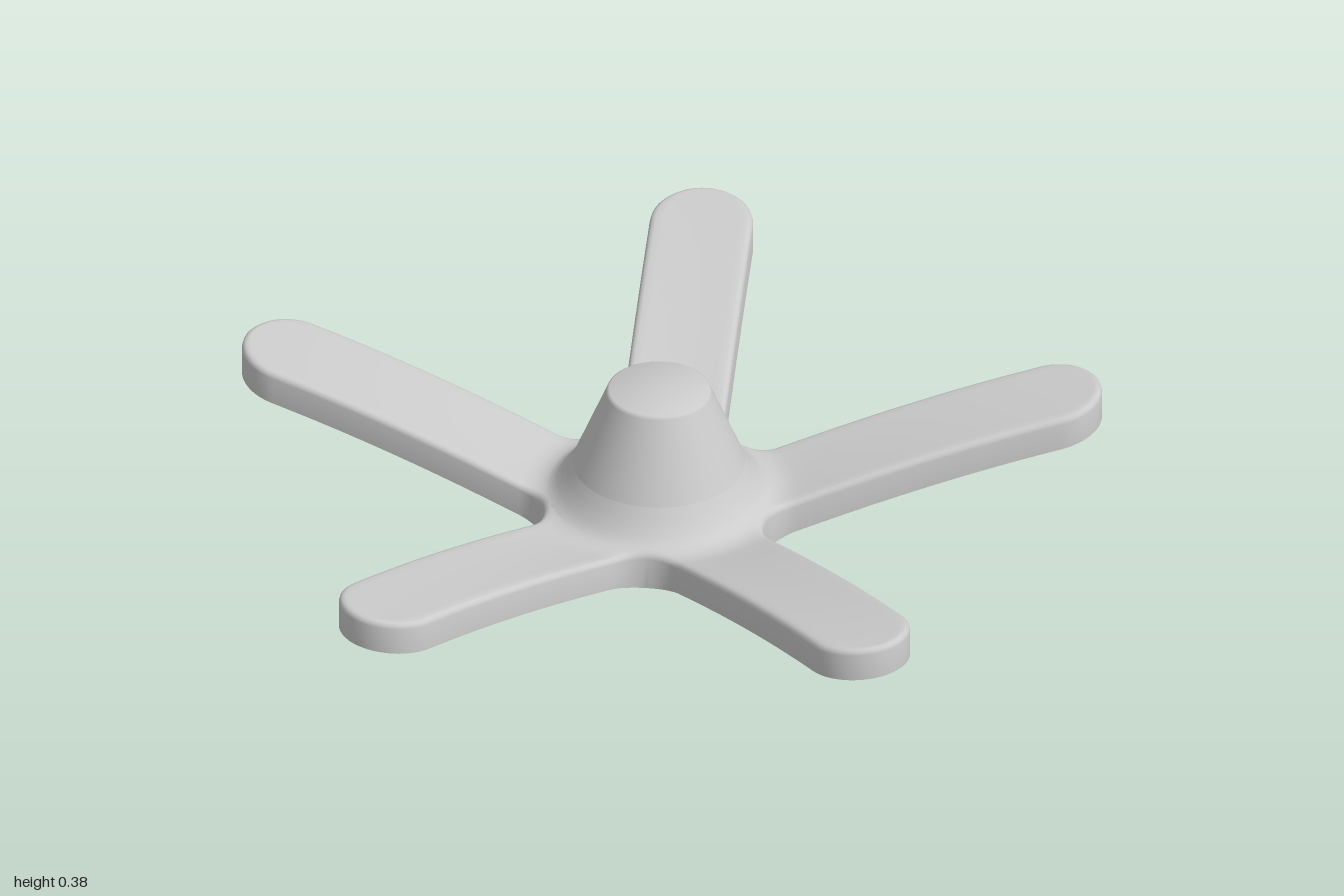
import * as THREE from 'three';
import { mergeGeometries, toCreasedNormals } from 'three/addons/utils/BufferGeometryUtils.js';

const LEGS = 5, SECTOR = Math.PI / LEGS;      // half angle of one leg's sector
const HALF = 0.12, CAP = 0.925;               // leg half width, centre of the rounded tip
const FILLET = 0.1, EDGE = 0.015;             // radius between legs, rounding of top edges
const HUB_R = 0.2, FOOT_R = 0.25, ACROSS = 12;

// Heights of the underside and top at a given radius from the hub axis
const bottomY = (r) => { const s = Math.max(0, r - FOOT_R); return 0.32 * s - 0.117 * s * s; };
const topY = (r) => bottomY(r) + 0.082 + 0.1 * Math.pow(Math.max(0, (0.34 - r) / 0.14), 2.8);

// Half outline of one leg: valley fillet, straight side, round tip
function legOutline() {
  const pts = [];
  const cx = (HALF + FILLET) / Math.tan(SECTOR), cz = HALF + FILLET;
  for (let i = 0; i <= 10; i++) {
    const t = Math.PI + SECTOR + (i / 10) * (Math.PI / 2 - SECTOR);
    const c = Math.cos(t), s = Math.sin(t);
    pts.push({ u: cx + FILLET * c, w: cz + FILLET * s, nu: -c, nw: -s });
  }
  for (let i = 1; i < 16; i++) pts.push({ u: cx + (CAP - cx) * i / 16, w: HALF, nu: 0, nw: 1 });
  for (let i = 0; i <= 16; i++) {
    const t = Math.PI / 2 * (1 - i / 16), c = Math.cos(t), s = Math.sin(t);
    pts.push({ u: CAP + HALF * c, w: i === 16 ? 0 : HALF * s, nu: c, nw: i === 16 ? 0 : s });
  }
  return pts;
}

const polar = (r, a, y) => [r * Math.cos(a), y, r * Math.sin(a)];

// Points along an arc of radius r, from angle a to angle b
function arcRow(r, a, b, y) {
  const row = [];
  for (let j = 0; j <= ACROSS; j++) row.push(polar(r, a + (b - a) * j / ACROSS, y));
  return row;
}

// Closed cross-section: underside, wall, rounded edge, top, rounded edge
function legSection(p) {
  const r = Math.hypot(p.u, p.w), phi = Math.atan2(p.w, p.u);
  const side = (sign) => [0, 1, 2].map((k) => {
    const t = k * Math.PI / 6, inset = EDGE * (1 - Math.cos(t));
    const u = p.u - p.nu * inset, w = Math.max(0, p.w - p.nw * inset);
    return [u, topY(Math.hypot(u, w)) - EDGE * (1 - Math.sin(t)), sign * w];
  });
  const iu = p.u - p.nu * EDGE, iw = Math.max(0, p.w - p.nw * EDGE);
  const ir = Math.hypot(iu, iw), ia = Math.atan2(iw, iu);
  const loop = [
    ...arcRow(r, phi, -phi, bottomY(r)),
    ...side(-1),
    ...arcRow(ir, -ia, ia, topY(ir)),
    ...side(1).reverse(),
  ];
  loop.push(loop[0]);
  return loop;
}

// Surface through rows of equal length
function loft(rows) {
  const n = rows[0].length, index = [];
  for (let i = 0; i < rows.length - 1; i++) {
    for (let j = 0; j < n - 1; j++) {
      const a = i * n + j, b = a + 1, c = a + n, d = c + 1;
      index.push(a, b, c, b, d, c);
    }
  }
  const g = new THREE.BufferGeometry();
  g.setAttribute('position', new THREE.Float32BufferAttribute(rows.flat(2), 3));
  g.setIndex(index);
  return g;
}

// Smooth normals with sharp edges; enlarged meanwhile so small details stay distinct
function crease(g) {
  g.scale(100, 100, 100);
  const out = toCreasedNormals(g, 0.7);
  return out.scale(0.01, 0.01, 0.01);
}

function sectorGeometry() {
  const outline = legOutline();
  const valley = Math.hypot(outline[0].u, outline[0].w);
  const inner = valley - EDGE;
  const topRows = [];
  for (let i = 0; i <= 5; i++) {
    const r = HUB_R + (inner - HUB_R) * i / 5;
    topRows.push(arcRow(r, -SECTOR, SECTOR, topY(r)));
  }
  const footRows = [0, FOOT_R, valley].map((r) => arcRow(r, SECTOR, -SECTOR, bottomY(r)));
  return mergeGeometries([loft(outline.map(legSection)), loft(topRows), loft(footRows)]);
}

export function createModel() {
  const model = new THREE.Group();
  model.name = 'starBase';
  const material = new THREE.MeshStandardMaterial({ color: 0xcccccc });
  const add = (name, geometry) => {
    const mesh = new THREE.Mesh(geometry, material);
    mesh.name = name;
    model.add(mesh);
    return mesh;
  };

  // Five legs joined in one body, one of them pointing to -x
  const sector = sectorGeometry();
  const angles = Array.from({ length: LEGS }, (_, i) => Math.PI + i * 2 * SECTOR);
  add('legs', crease(mergeGeometries(angles.map((a) => sector.clone().rotateY(a)))));

  // Tapered hub
  const profile = [[HUB_R, topY(HUB_R)], [0.122, 0.372], [0.12, 0.377], [0.115, 0.38], [0, 0.38]];
  const hub = new THREE.LatheGeometry(profile.map(([x, y]) => new THREE.Vector2(x, y)), 60);
  hub.deleteAttribute('normal');
  add('hub', crease(hub));

  // Caster pegs under the tips
  for (const a of angles) {
    const peg = add('casterPeg', new THREE.CylinderGeometry(0.018, 0.018, 0.08, 20));
    peg.position.set(CAP * Math.cos(a), 0.165, CAP * Math.sin(a));
  }

  // The hub axis sits off centre so the whole star is centred
  model.children.forEach((part) => { part.position.x += 0.085; });
  return model;
}
